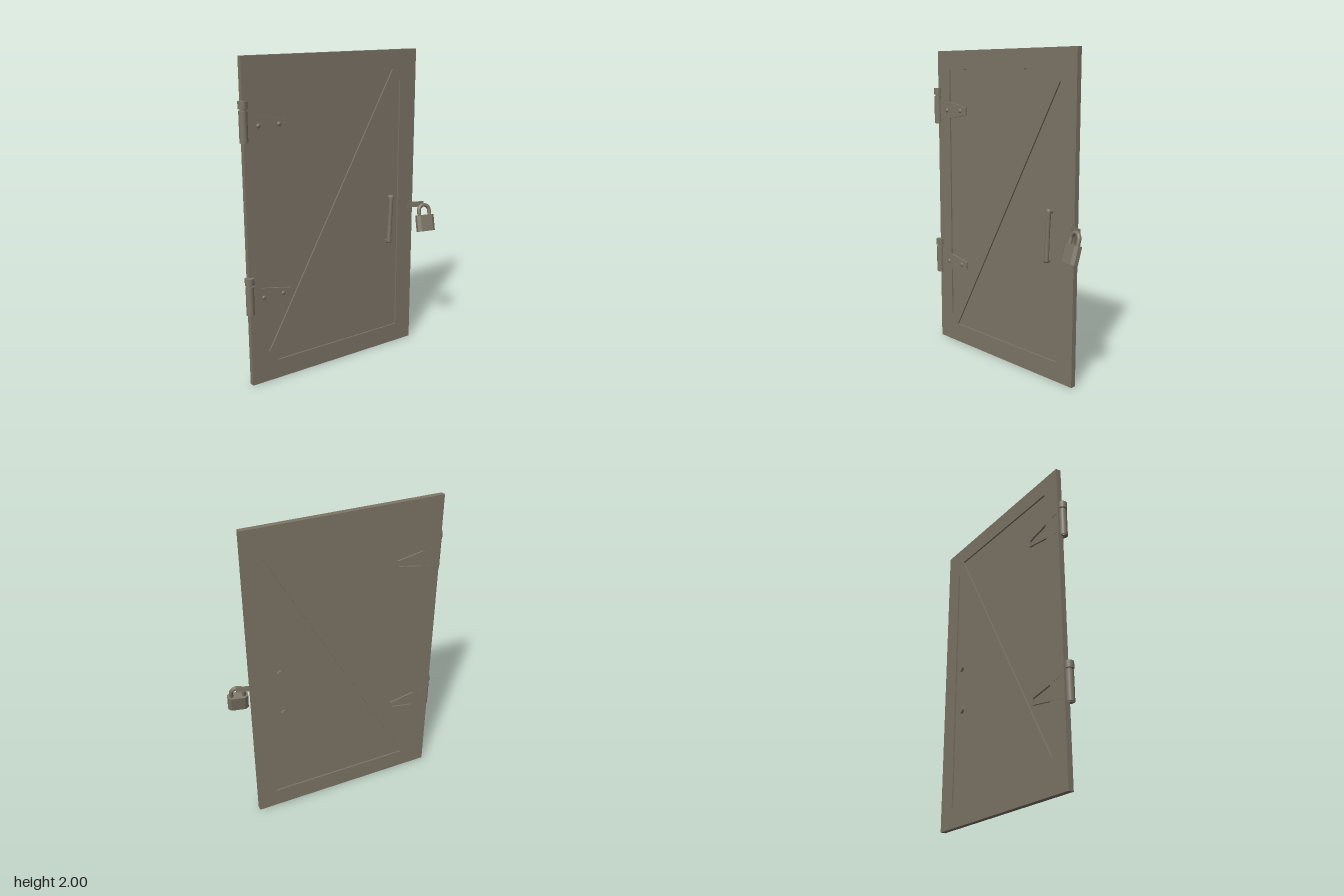
import * as THREE from 'three';

const metal = new THREE.MeshStandardMaterial({ color: 0x7d7567 });
metal.name = 'weathered metal';

function add(parent, name, geometry, x = 0, y = 0, z = 0) {
  const mesh = new THREE.Mesh(geometry, metal);
  mesh.name = name;
  mesh.position.set(x, y, z);
  parent.add(mesh);
  return mesh;
}

const points = (list) => list.map(([x, y]) => new THREE.Vector2(x, y));

// flat plate from an outline, with optional holes
function plate(outline, depth, holes = []) {
  const shape = new THREE.Shape(points(outline));
  holes.forEach((h) => shape.holes.push(new THREE.Path(points(h))));
  return new THREE.ExtrudeGeometry(shape, { depth, bevelEnabled: false });
}

function makeDoor() {
  const door = new THREE.Group();
  door.name = 'door';
  const outer = [[-0.67, 0], [0.575, 0], [0.575, 2], [-0.67, 2]];
  const openings = [
    [[-0.55, 1.88], [-0.55, 0.19], [0.39, 1.88]],
    [[0.45, 1.815], [-0.49, 0.125], [0.45, 0.125]],
  ];
  // frame and diagonal brace, with thinner sheets set into the openings
  add(door, 'frameWithBrace', plate(outer, 0.034, openings), 0, 0, -0.079);
  openings.forEach((o, i) => add(door, i ? 'lowerPanel' : 'upperPanel', plate(o, 0.014), 0, 0, -0.069));
  return door;
}

// strap hinge, y = 0 on the line of its rivets
function makeHinge(name, y) {
  const hinge = new THREE.Group();
  hinge.name = name;
  hinge.position.y = y;
  add(hinge, 'barrel', new THREE.CylinderGeometry(0.025, 0.025, 0.18, 16), -0.67, 0.003, -0.041);
  add(hinge, 'pin', new THREE.CylinderGeometry(0.018, 0.018, 0.22, 12), -0.67, 0.018, -0.041);
  add(hinge, 'pinCap', new THREE.CylinderGeometry(0.028, 0.028, 0.042, 16), -0.67, 0.125, -0.041);
  const outline = [[-0.66, -0.072], [-0.385, -0.024], [-0.385, 0.024], [-0.66, 0.077]];
  add(hinge, 'strap', plate(outline, 0.021), 0, 0, -0.063);
  // narrow rim on the back of the door
  const inner = [[-0.65, -0.058], [-0.394, -0.014], [-0.394, 0.014], [-0.65, 0.063]];
  add(hinge, 'backRim', plate(outline, 0.016, [inner]), 0, 0, -0.08);
  for (const x of [-0.575, -0.44]) {
    const rivet = add(hinge, 'rivet', new THREE.SphereGeometry(0.014, 12, 8), x, 0, -0.042);
    rivet.scale.z = 0.6;
  }
  return hinge;
}

function makeHandle() {
  const handle = new THREE.Group();
  handle.name = 'handle';
  // worn grip, slightly uneven along its length
  const profile = points([[0, -0.166], [0.015, -0.162], [0.018, -0.15], [0.015, -0.13],
    [0.014, 0], [0.015, 0.13], [0.018, 0.15], [0.015, 0.162], [0, 0.166]]);
  const grip = add(handle, 'grip', new THREE.LatheGeometry(profile, 10), 0.377, 0.902, -0.032);
  grip.rotation.z = -0.045;
  for (const [x, y] of [[0.384, 1.05], [0.37, 0.75]]) {
    const post = add(handle, 'post', new THREE.CylinderGeometry(0.014, 0.014, 0.04, 10), x, y, -0.05);
    const bolt = add(handle, 'backBolt', new THREE.CylinderGeometry(0.021, 0.021, 0.016, 12), x, y, -0.075);
    post.rotation.x = bolt.rotation.x = Math.PI / 2;
  }
  return handle;
}

function makeLock() {
  const lock = new THREE.Group();
  lock.name = 'lock';
  // hasp: plate on the frame and a tab angled out past its edge
  add(lock, 'haspPlate', new THREE.BoxGeometry(0.03, 0.054, 0.008), 0.553, 0.973, -0.043);
  const tab = add(lock, 'haspTab', new THREE.BoxGeometry(0.11, 0.036, 0.007), 0.595, 0.972, -0.029);
  tab.rotation.y = -0.32;
  add(lock, 'haspBackEnd', new THREE.BoxGeometry(0.006, 0.045, 0.006), 0.53, 0.97, -0.078);

  // padlock hanging at a slant
  const padlock = new THREE.Group();
  padlock.name = 'padlock';
  padlock.position.set(0.628, 0.85, 0.034);
  padlock.rotation.set(-0.25, -0.22, 0, 'YXZ');
  const outline = [[-0.063, -0.013], [-0.042, -0.027], [0.042, -0.027], [0.063, -0.013],
    [0.063, 0.013], [0.042, 0.027], [-0.042, 0.027], [-0.063, 0.013]];
  const body = plate(outline, 0.108);
  body.rotateX(-Math.PI / 2).translate(0, -0.054, 0);
  add(padlock, 'padlockBody', body);
  const path = new THREE.CurvePath();
  const V = (x, y) => new THREE.Vector3(x, y, 0);
  const arc = [V(-0.038, 0.04), V(-0.038, 0.08)];
  for (let i = 1; i < 8; i++) {
    const a = Math.PI * (1 - i / 8);
    arc.push(V(0.038 * Math.cos(a), 0.085 + 0.038 * Math.sin(a)));
  }
  arc.push(V(0.038, 0.08), V(0.038, 0.04));
  path.add(new THREE.CatmullRomCurve3(arc));
  add(padlock, 'shackle', new THREE.TubeGeometry(path, 32, 0.013, 10));
  lock.add(padlock);
  return lock;
}

export function createModel() {
  const model = new THREE.Group();
  model.name = 'metalDoor';
  model.add(makeDoor(), makeHinge('upperHinge', 1.61), makeHinge('lowerHinge', 0.566), makeHandle(), makeLock());
  return model;
}
